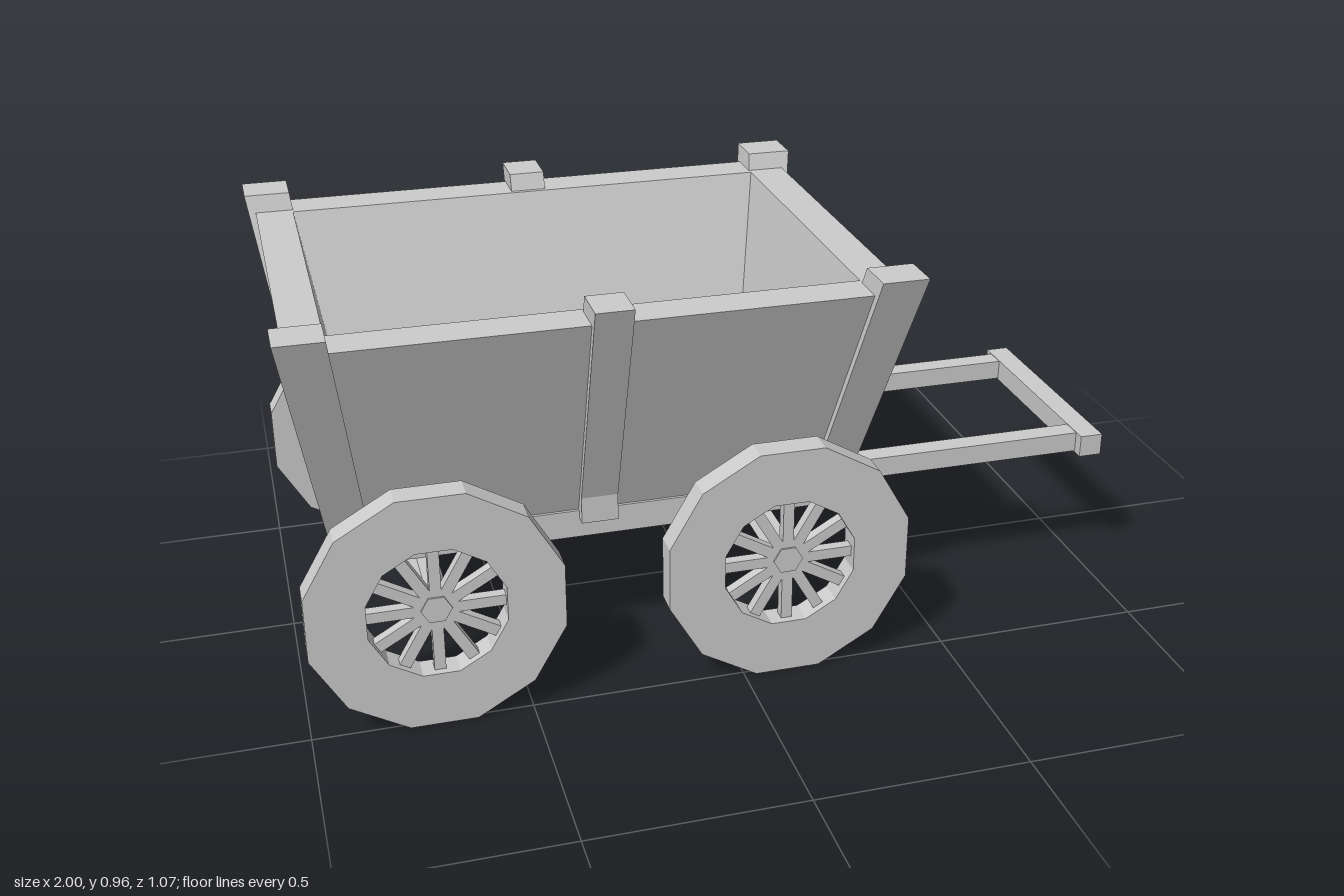
import * as THREE from 'three';

const material = new THREE.MeshStandardMaterial({ color: 0xcccccc, flatShading: true });
const BODY_X = -0.3; // centre of the cart body along its length

function add(parent, name, geometry, x = 0, y = 0, z = 0) {
  const mesh = new THREE.Mesh(geometry, material);
  mesh.name = name;
  mesh.position.set(x, y, z);
  parent.add(mesh);
  return mesh;
}

// Solid skinned through rectangular sections [y, xa, xb, za, zb]
function loft(sections) {
  const positions = [], index = [];
  for (const [y, xa, xb, za, zb] of sections) {
    const x0 = Math.min(xa, xb), x1 = Math.max(xa, xb);
    const z0 = Math.min(za, zb), z1 = Math.max(za, zb);
    positions.push(x0, y, z0, x0, y, z1, x1, y, z1, x1, y, z0);
  }
  for (let s = 0; s < sections.length - 1; s++) {
    for (let i = 0; i < 4; i++) {
      const a = s * 4 + i, b = s * 4 + (i + 1) % 4;
      index.push(a, b, b + 4, a, b + 4, a + 4);
    }
  }
  const t = (sections.length - 1) * 4;
  index.push(0, 2, 1, 0, 3, 2, t, t + 1, t + 2, t, t + 2, t + 3);
  const indexed = new THREE.BufferGeometry();
  indexed.setAttribute('position', new THREE.Float32BufferAttribute(positions, 3));
  indexed.setIndex(index);
  const geometry = indexed.toNonIndexed();
  geometry.computeVertexNormals();
  return geometry;
}

// Section centred on the body, given by half sizes
const centred = (y, hx, hz) => [y, -hx, hx, -hz, hz];

// Twelve-sided outline with flats at top, bottom and sides
function polygon(radius, PathType) {
  const points = [];
  for (let i = 0; i < 12; i++) {
    const a = (i + 0.5) * Math.PI / 6;
    points.push(new THREE.Vector2(Math.cos(a) * radius, Math.sin(a) * radius));
  }
  return new PathType(points);
}

function makeWheel() {
  const wheel = new THREE.Group();
  wheel.name = 'wheel';
  const outline = polygon(0.296, THREE.Shape);
  outline.holes.push(polygon(0.16, THREE.Path));
  const rim = new THREE.ExtrudeGeometry(outline, { depth: 0.062, bevelEnabled: false });
  add(wheel, 'rim', rim, 0, 0, -0.031);
  for (let i = 0; i < 12; i++) {
    const a = i * Math.PI / 6;
    const spoke = add(wheel, 'spoke', new THREE.BoxGeometry(0.15, 0.026, 0.026),
      Math.cos(a) * 0.085, Math.sin(a) * 0.085, 0);
    spoke.rotation.z = a;
  }
  return wheel;
}

export function createModel() {
  const cart = new THREE.Group();
  cart.name = 'cart';

  const body = new THREE.Group();
  body.name = 'body';
  body.position.x = BODY_X;
  cart.add(body);

  // Open tub with sloping walls
  add(body, 'tub', loft([
    centred(0.38, 0.594, 0.306),
    centred(0.92, 0.677, 0.5),
    centred(0.92, 0.588, 0.404),
    centred(0.42, 0.505, 0.235),
  ]));

  // Base frame, recessed underneath
  add(body, 'baseFrame', loft([
    centred(0.375, 0.52, 0.23),
    centred(0.317, 0.52, 0.23),
    centred(0.317, 0.6, 0.315),
    centred(0.385, 0.6, 0.315),
  ]));

  // Leaning posts at the corners and halfway along each side
  for (const sz of [1, -1]) {
    for (const sx of [1, -1]) {
      add(body, 'cornerPost', loft([
        [0.357, sx * 0.517, sx * 0.607, sz * 0.215, sz * 0.315],
        [0.96, sx * 0.592, sx * 0.7, sz * 0.434, sz * 0.534],
      ]));
    }
    add(body, 'middlePost', loft([
      [0.365, -0.043, 0.043, sz * 0.22, sz * 0.342],
      [0.43, -0.043, 0.043, sz * 0.24, sz * 0.342],
      [0.96, -0.043, 0.043, sz * 0.43, sz * 0.534],
    ]));
  }

  // Axles and wheels
  for (const x of [-0.705, 0.105]) {
    const axle = new THREE.CylinderGeometry(0.035, 0.035, 1, 6);
    axle.rotateY(Math.PI / 2).rotateX(Math.PI / 2);
    add(cart, 'axle', axle, x, 0.287, 0);
    for (const z of [0.483, -0.483]) {
      const wheel = makeWheel();
      wheel.position.set(x, 0.286, z);
      cart.add(wheel);
    }
  }

  // Pull handle: two shafts and a crossbar
  for (const z of [0.23, -0.23]) {
    add(cart, 'shaft', new THREE.BoxGeometry(0.68, 0.05, 0.052), 0.61, 0.363, z);
  }
  add(cart, 'handleBar', new THREE.BoxGeometry(0.057, 0.055, 0.566), 0.9715, 0.362, 0);

  return cart;
}
